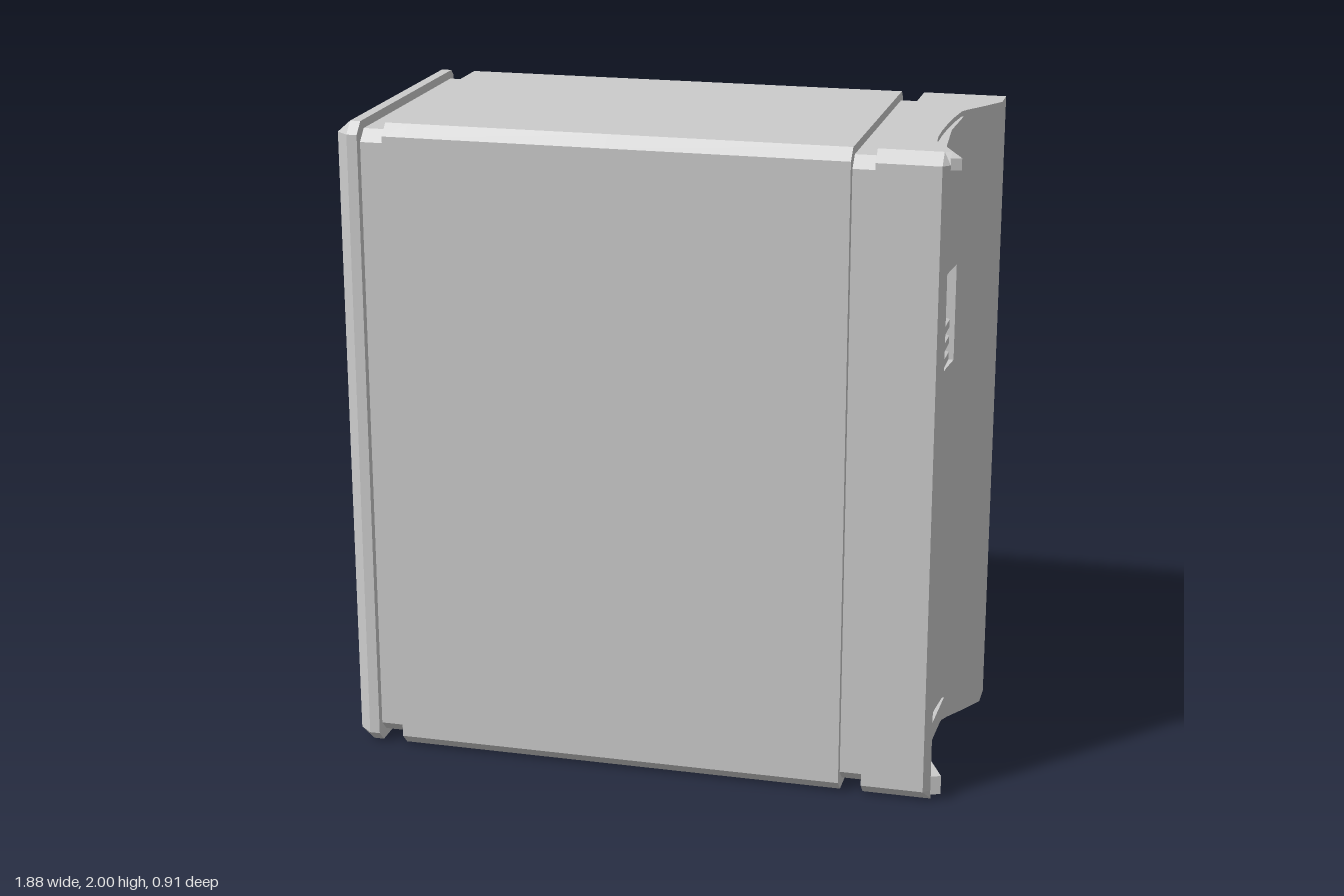
import * as THREE from 'three';
import { toCreasedNormals } from 'three/addons/utils/BufferGeometryUtils.js';

const mat = new THREE.MeshStandardMaterial({ color: 0xcccccc });

function add(parent, name, geo) {
  const mesh = new THREE.Mesh(geo, mat);
  mesh.name = name;
  parent.add(mesh);
  return mesh;
}

const extrude = (pts, depth) => new THREE.ExtrudeGeometry(
  new THREE.Shape(pts.map(([a, b]) => new THREE.Vector2(a, b))), { depth, bevelEnabled: false });

// Prism along y from [x, z] points
const prismY = (pts, y0, y1) =>
  extrude(pts.map(([x, z]) => [x, -z]), y1 - y0).rotateX(-Math.PI / 2).translate(0, y0, 0);

// Prism along x from [z, y] points
const prismX = (pts, x0, x1) =>
  extrude(pts.map(([z, y]) => [-z, y]), x1 - x0).rotateY(Math.PI / 2).translate(x0, 0, 0);

// Move vertices by a rule, then refresh the normals
function bend(geo, rule) {
  const p = geo.attributes.position, v = new THREE.Vector3();
  for (let i = 0; i < p.count; i++) {
    rule(v.fromBufferAttribute(p, i));
    p.setXYZ(i, v.x, v.y, v.z);
  }
  return toCreasedNormals(geo, 0.4);
}

const clamp = THREE.MathUtils.clamp;
const FAN_Y0 = 0.985, FAN_Y1 = 1.56, FAN_X0 = -0.72, FAN_X1 = -0.11;

// Case cross-section in [z, y], optionally notched at the back
function section(inset = 0, notch = false) {
  const f = 0.452 - inset, b = -0.44 + inset * 0.5, lo = inset, hi = 2 - inset, c = 0.035, d = 0.02;
  const pts = [[f - c, lo], [f, lo + c], [f, hi - c], [f - c, hi], [b + d, hi], [b, hi - d]];
  if (notch) pts.push([b, FAN_Y1], [-0.25, FAN_Y1], [-0.25, FAN_Y0], [b, FAN_Y0]);
  pts.push([b, lo + d], [b + d, lo]);
  return pts;
}

function buildCase(g) {
  add(g, 'mainCaseLeftPart', prismX(section(), FAN_X1, 0.61));
  add(g, 'mainCaseFanPart', prismX(section(0, true), FAN_X0, FAN_X1));
  add(g, 'mainCaseRightPart', prismX(section(), -0.79, FAN_X0));
  add(g, 'sideGroove', prismX(section(0.026), -0.88, -0.78));
  add(g, 'frontPanelGroove', prismX(section(0.026), 0.6, 0.69));
  // Side cover with a chamfered outer rim
  add(g, 'sideCover', prismX(section(), -0.9, -0.868));
  add(g, 'sideCoverChamfer', bend(prismX(section(), -0.94, -0.9), v => {
    if (v.x < -0.92) {
      v.y = clamp(v.y, 0.035, 1.965);
      v.z = clamp(v.z, -0.41, 0.417);
    }
  }));
}

function buildContouredPanel(g) {
  const back = [[0.68, -0.44], [0.91, -0.44], [0.935, -0.42], [0.935, -0.33], [0.89, -0.25],
    [0.85, -0.185], [0.836, -0.155]];
  const hollow = [[0.827, -0.06], [0.822, 0.04], [0.82, 0.14], [0.822, 0.22]];
  const front = [[0.828, 0.28], [0.89, 0.43], [0.87, 0.452], [0.68, 0.452]];
  const plain = [...back, ...hollow, ...front];
  const notched = [...back, [0.75, -0.155], [0.75, 0.28], ...front];
  const c = 0.035;
  const pieces = [[0, c], [c, 1.22], [1.22, 1.525, true], [1.525, 2 - c], [2 - c, 2]];
  for (const [y0, y1, vent] of pieces) {
    add(g, 'contouredPanel', bend(prismY(vent ? notched : plain, y0, y1), v => {
      if (v.y < 0.001 || v.y > 1.999) v.z = clamp(v.z, -0.42, 0.417);
    }));
  }
  // Raised lips at the foot and head of the hollow
  const lip = [[0.842, -0.155], [0.836, 0.05], [0.855, 0.28], [0.92, 0.42], [0.89, 0.43],
    [0.82, 0.28], [0.81, 0.08], [0.82, -0.155]];
  add(g, 'bottomLip', prismY(lip, 0.02, 0.08));
  add(g, 'topLip', prismY(lip, 1.95, 1.985));

  // Slatted vent inside the hollow
  const vent = new THREE.Group();
  vent.name = 'slattedVent';
  g.add(vent);
  const slat = y => [[0.08, 0], [0.08, 0.025], [0, 0.05], [0, 0]].map(([x, h]) => [x, y + h]);
  for (const y of [1.22, 1.272, 1.325]) {
    const geo = extrude(slat(y).map(([x, h]) => [x + 0.74, h]), 0.435).translate(0, 0, -0.155);
    add(vent, 'ventSlat', geo);
  }
  const brow = [[0.74, 1.49], [0.785, 1.49], [0.81, 1.525], [0.74, 1.525]];
  add(vent, 'ventBrow', extrude(brow, 0.435).translate(0, 0, -0.155));
}

function buildFanBay(g) {
  // Sloping floor and ribs
  const slope = lift => [[FAN_X0, -0.25], [FAN_X0, -0.27 - lift], [FAN_X1, -0.4 - lift], [FAN_X1, -0.25]];
  add(g, 'fanBayFloor', prismY(slope(0), FAN_Y0, FAN_Y1));
  for (const y of [0.985, 1.12, 1.268, 1.415]) {
    const mid = y + 0.03;
    add(g, 'fanBayRib', bend(prismY(slope(0.036), y, y + 0.06), v => {
      if (v.z > -0.26) v.y = mid + (v.y - mid) * 1.3;
    }));
  }

  // Tilted fan facing the back
  const fan = new THREE.Group();
  fan.name = 'fan';
  fan.position.set(-0.47, 1.29, -0.36);
  fan.rotation.y = Math.PI + 0.21;
  g.add(fan);
  const ring = [[0.212, -0.01], [0.24, -0.01], [0.24, 0.035], [0.232, 0.047], [0.217, 0.047], [0.212, 0.038], [0.212, -0.01]];
  add(fan, 'fanRing', toCreasedNormals(new THREE.LatheGeometry(
    ring.map(([r, h]) => new THREE.Vector2(r, h)), 40).rotateX(Math.PI / 2), 0.4));
  add(fan, 'fanBackPlate', new THREE.CylinderGeometry(0.22, 0.22, 0.012, 40).rotateX(Math.PI / 2));
  add(fan, 'fanHub', new THREE.CylinderGeometry(0.036, 0.045, 0.05, 24).rotateX(Math.PI / 2).translate(0, 0, 0.022));
  add(fan, 'fanHubCap', new THREE.CylinderGeometry(0.014, 0.02, 0.012, 16).rotateX(Math.PI / 2).translate(0, 0, 0.05));
  const blade = new THREE.BoxGeometry(0.185, 0.04, 0.008);
  bend(blade, () => {});
  const p = blade.attributes.position;
  for (let i = 0; i < p.count; i++) p.setY(i, p.getY(i) * (1 + p.getX(i) * 4.5));
  blade.computeVertexNormals();
  blade.rotateX(0.5).translate(0.127, 0, 0.025);
  const count = 14;
  for (let i = 0; i < count; i++) {
    add(fan, 'fanBlade', blade).rotation.z = (i / count) * Math.PI * 2;
  }
}

export function createModel() {
  const g = new THREE.Group();
  g.name = 'computerCase';
  buildCase(g);
  buildContouredPanel(g);
  buildFanBay(g);
  return g;
}
